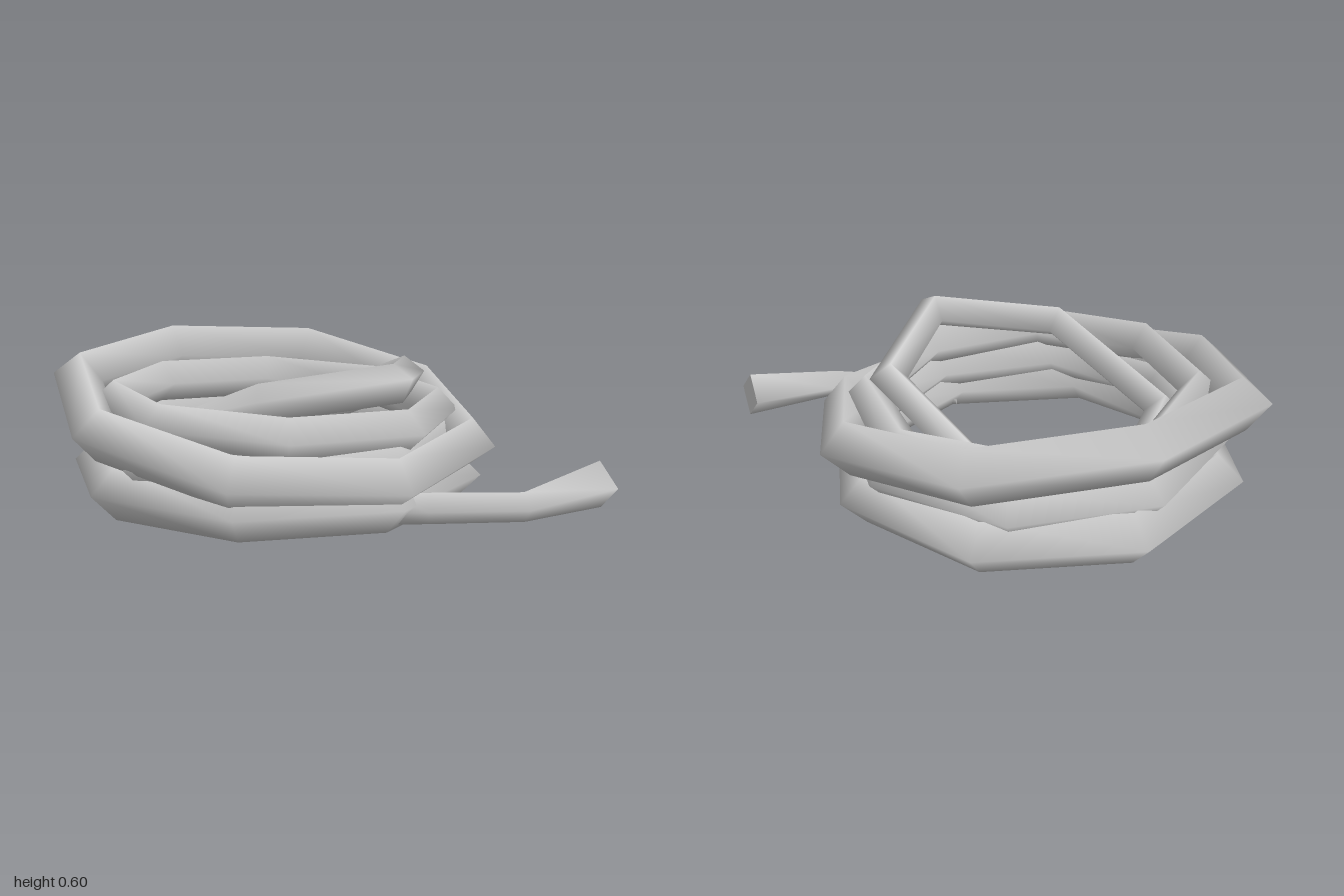
import * as THREE from 'three';

const material = new THREE.MeshStandardMaterial({ color: 0xcccccc });
const V = (x, y, z) => new THREE.Vector3(x, y, z);

// Diamond-section rope swept along straight segments; radii holds one value per point
function rope(name, points, radii, normal, closed) {
  const n = points.length;
  const pos = [], index = [];
  points.forEach((p, i) => {
    const prev = closed ? points[(i + n - 1) % n] : points[Math.max(i - 1, 0)];
    const next = closed ? points[(i + 1) % n] : points[Math.min(i + 1, n - 1)];
    const inDir = p.clone().sub(prev).normalize();
    const outDir = next.clone().sub(p).normalize();
    const t = inDir.add(outDir).normalize();
    const side = normal.clone().cross(t).normalize();
    const up = t.clone().cross(side);
    for (let j = 0; j < 4; j++) {
      const a = j * Math.PI / 2;
      const v = p.clone()
        .addScaledVector(side, Math.cos(a) * radii[i])
        .addScaledVector(up, Math.sin(a) * radii[i]);
      pos.push(v.x, v.y, v.z);
    }
  });
  for (let i = 0; i < (closed ? n : n - 1); i++) {
    const k = (i + 1) % n;
    for (let j = 0; j < 4; j++) {
      const m = (j + 1) % 4;
      const a = i * 4 + j, b = i * 4 + m, c = k * 4 + m, d = k * 4 + j;
      index.push(a, b, c, a, c, d);
    }
  }
  // Flat caps with their own corners
  if (!closed) {
    for (const [ring, order] of [[0, [0, 3, 2, 1]], [n - 1, [0, 1, 2, 3]]]) {
      const base = pos.length / 3;
      for (const j of order) pos.push(...pos.slice((ring * 4 + j) * 3, (ring * 4 + j) * 3 + 3));
      index.push(base, base + 1, base + 2, base, base + 2, base + 3);
    }
  }
  const g = new THREE.BufferGeometry();
  g.setAttribute('position', new THREE.Float32BufferAttribute(pos, 3));
  g.setIndex(index);
  g.computeVertexNormals();
  const mesh = new THREE.Mesh(g, material);
  mesh.name = name;
  return mesh;
}

// Eight-sided loop lying in the plane y = cy + slopeX * x + slopeZ * z
function loop(name, { cy, cz, radius, tube, turn = 0, slopeX = 0, slopeZ = 0 }) {
  const points = [];
  for (let i = 0; i < 8; i++) {
    const a = turn + i * Math.PI / 4;
    const x = Math.cos(a) * radius, z = -Math.sin(a) * radius;
    points.push(V(x, cy + slopeX * x + slopeZ * z, cz + z));
  }
  const normal = V(-slopeX, 1, -slopeZ).normalize();
  return rope(name, points, Array(8).fill(tube), normal, true);
}

export function createModel() {
  const group = new THREE.Group();
  group.name = 'ropeCoil';

  // Stacked loops from the ground up
  group.add(
    loop('bottomLoop', { cy: 0.105, cz: -0.105, radius: 0.728, tube: 0.105 }),
    loop('lowerLoop', { cy: 0.218, cz: -0.1, radius: 0.68, tube: 0.085, turn: 0.15 }),
    loop('upperLoop', {
      cy: 0.365, cz: -0.085, radius: 0.65, tube: 0.085, turn: 0.24, slopeX: -0.03, slopeZ: -0.02,
    }),
  );

  // Wide outer loop, high at the back and broader there
  const slope = -0.187;
  const outer = [
    [0.795, -0.112], [0.59, -0.695], [0, -0.897], [-0.565, -0.695],
    [-0.795, -0.112], [-0.56, 0.443], [0, 0.67], [0.56, 0.443],
  ].map(([x, z]) => V(x, 0.338 + slope * (z + 0.115), z));
  group.add(rope('tiltedOuterLoop', outer, Array(8).fill(0.105), V(0, 1, -slope).normalize(), true));

  // Steep, uneven loop rising out of the middle
  const inner = [
    V(0.145, 0.525, 0.5), V(0.52, 0.465, 0.11), V(0.34, 0.205, -0.475),
    V(-0.12, 0.19, -0.605), V(-0.51, 0.235, -0.24), V(-0.315, 0.465, 0.275),
  ];
  group.add(rope('innerLoop', inner, Array(6).fill(0.075), V(0, 1, -0.35).normalize(), true));

  // Loose tail with a flared end
  const tail = [V(0, 0.08, 0.58), V(0.14, 0.085, 0.69), V(0.43, 0.09, 0.895), V(0.82, 0.122, 0.905)];
  group.add(rope('looseEnd', tail, [0.06, 0.06, 0.057, 0.093], V(0, 1, 0), false));

  return group;
}
